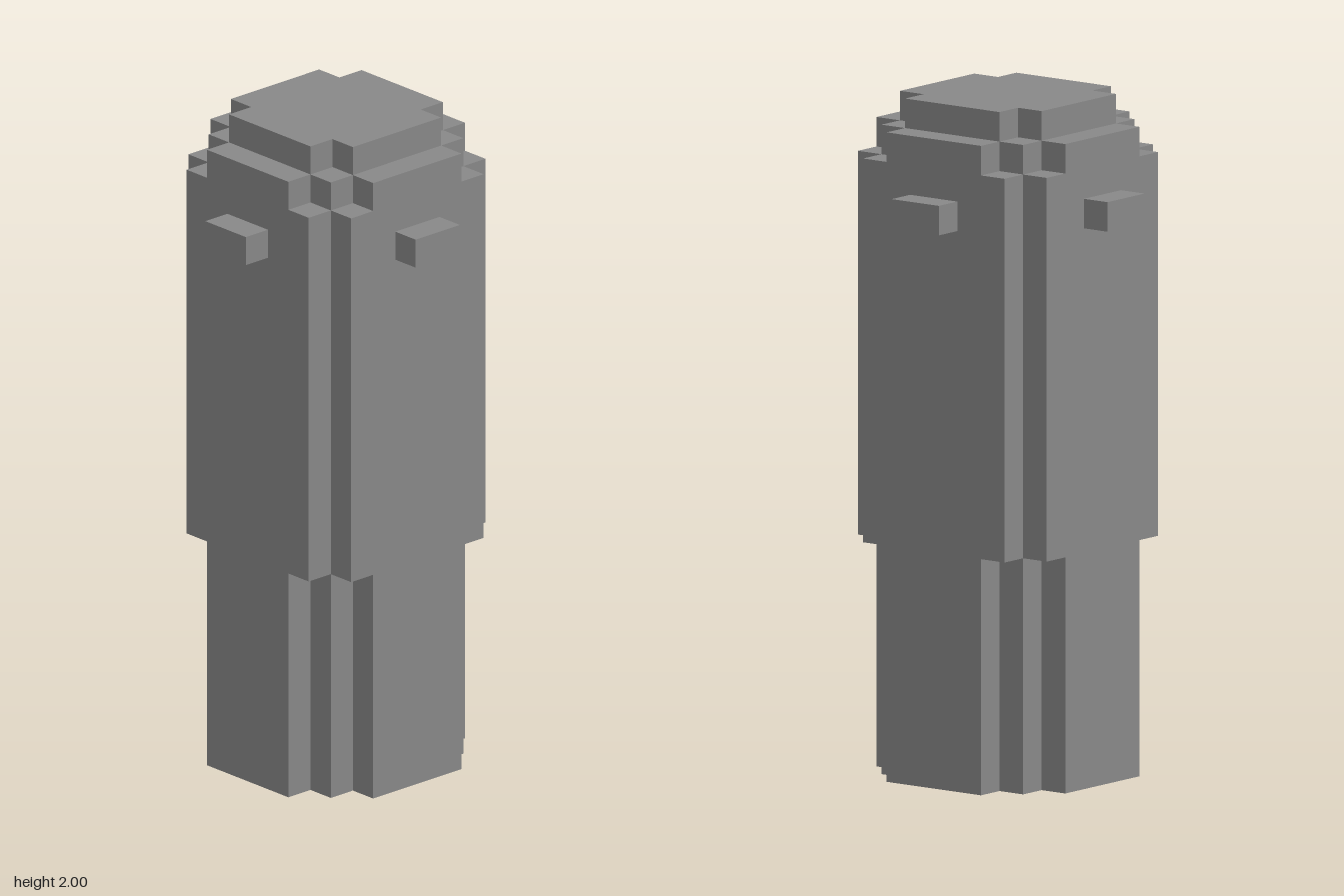
import * as THREE from 'three';

const U = 2 / 23; // one block

// Full stepped outline from the points of one quarter, turned four times
function outline(quarter, Type) {
  const pts = [];
  for (let k = 0; k < 4; k++) {
    for (const [x, y] of quarter) {
      const [a, b] = [[x, y], [-y, x], [-x, -y], [y, -x]][k];
      pts.push(new THREE.Vector2(a * U, b * U));
    }
  }
  return new Type(pts);
}

// Quarter outlines, in blocks
const twoStep = [[4, 2], [3, 2], [3, 3], [2, 3], [2, 4]];
const oneStep = [[4, 3], [3, 3], [3, 4]];
const capStep = [[3, 2], [2, 2], [2, 3]];
const innerTwoStep = [[3, 1], [2, 1], [2, 2], [1, 2], [1, 3]];
const innerOneStep = [[3, 2], [2, 2], [2, 3]];
const innerCap = [[2, 1], [1, 1], [1, 2]];

// Stacked layers: name, bottom, top, outer outline, hollow
const layers = [
  ['lowerSleeve', 0, 8, twoStep, innerTwoStep],
  ['shoulder', 8, 9, oneStep, innerTwoStep],
  ['upperBody', 9, 20, oneStep, innerOneStep],
  ['bodyRim', 20, 21, oneStep, innerTwoStep],
  ['collar', 21, 22, twoStep, innerCap],
  ['cap', 22, 23, capStep, null],
];

export function createModel() {
  const model = new THREE.Group();
  const grey = new THREE.MeshStandardMaterial({ color: 0x888888 });
  grey.name = 'grey';

  for (const [name, bottom, top, outer, hollow] of layers) {
    const shape = outline(outer, THREE.Shape);
    if (hollow) shape.holes.push(outline(hollow, THREE.Path));
    const geo = new THREE.ExtrudeGeometry(shape, { depth: (top - bottom) * U, bevelEnabled: false });
    geo.rotateX(-Math.PI / 2);
    const mesh = new THREE.Mesh(geo, grey);
    mesh.name = name;
    mesh.position.y = bottom * U;
    model.add(mesh);
  }

  // One small lug on each side
  ['frontLug', 'leftLug', 'backLug', 'rightLug'].forEach((name, i) => {
    const geo = new THREE.BoxGeometry(2 * U, U, U);
    geo.translate(0, 19.5 * U, 4.5 * U);
    const lug = new THREE.Mesh(geo, grey);
    lug.name = name;
    lug.rotation.y = i * Math.PI / 2;
    model.add(lug);
  });

  return model;
}
